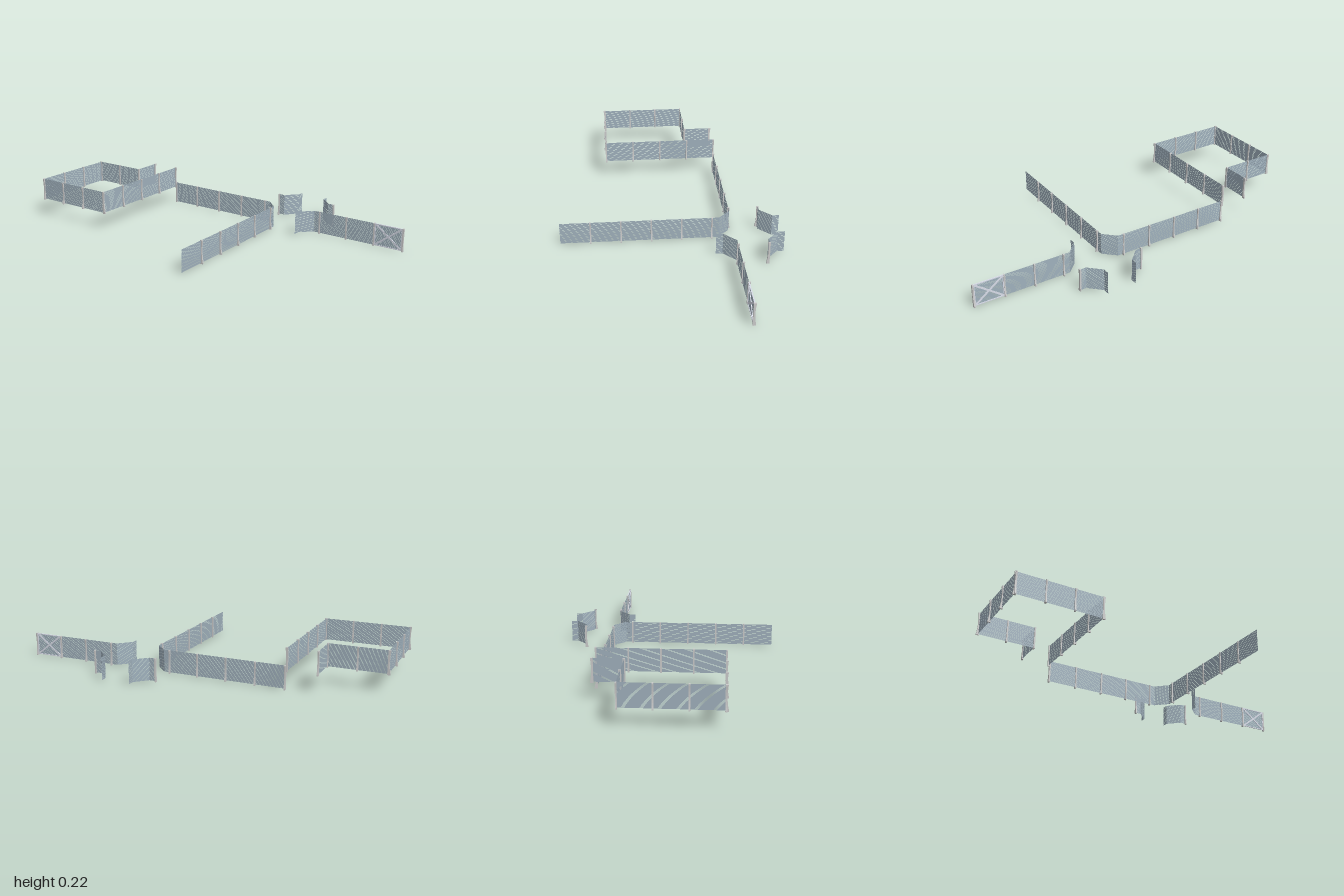
import * as THREE from 'three';
import { mergeGeometries } from 'three/addons/utils/BufferGeometryUtils.js';

const H = 0.122;      // panel height
const BASE = 0.005;   // gap below the panel
const UPPER = 0.094;  // floor level of the raised enclosure
const SLATS = 25;

const metal = new THREE.MeshStandardMaterial({ color: 0xcccccc });
const frameMetal = new THREE.MeshStandardMaterial({ color: 0xd8dce8 });
const sheet = new THREE.MeshStandardMaterial({ color: 0x9fb0bc, side: THREE.DoubleSide });

// Thin, closely spaced horizontal slats along +x, starting at the origin
function panelGeometry(length) {
  const slats = [];
  const pitch = H / SLATS;
  for (let i = 0; i < SLATS; i++) {
    slats.push(new THREE.PlaneGeometry(length, pitch * 0.9)
      .translate(length / 2, BASE + (i + 0.5) * pitch, 0));
  }
  return mergeGeometries(slats);
}

// Post with a waisted side profile: wide foot, slim middle, wider head
function postGeometry() {
  const s = new THREE.Shape();
  s.moveTo(-0.005, 0);
  s.lineTo(0.011, 0);
  s.lineTo(0.011, 0.006);
  s.quadraticCurveTo(-0.001, 0.06, 0.008, 0.122);
  s.lineTo(0.008, 0.128);
  s.lineTo(-0.005, 0.128);
  s.closePath();
  const g = new THREE.ExtrudeGeometry(s, { depth: 0.008, bevelEnabled: false, curveSegments: 8 });
  return g.translate(0, 0, -0.004).rotateY(-Math.PI / 2);
}

// Gate frame: one plate whose four triangular holes leave a rim and crossed braces
function gateGeometry(length) {
  const w = length / 2 - 0.004, h = H / 2;   // half sizes
  const rim = 0.005, brace = 0.0045;         // rim width, half width of a brace
  const iw = w - rim, ih = h - rim;
  const diagonal = Math.hypot(iw, ih);
  const dx = (brace * diagonal) / ih, dy = (brace * diagonal) / iw;
  const points = (list) => list.map(([x, y]) => new THREE.Vector2(x, y));
  const plate = new THREE.Shape(points([[-w, -h], [w, -h], [w, h], [-w, h]]));
  for (const s of [-1, 1]) {
    plate.holes.push(new THREE.Path(points([[s * iw, ih - dy], [s * iw, dy - ih], [s * dx, 0]])));
    plate.holes.push(new THREE.Path(points([[iw - dx, s * ih], [dx - iw, s * ih], [0, s * dy]])));
  }
  const g = new THREE.ExtrudeGeometry(plate, { depth: 0.006, bevelEnabled: false });
  return g.translate(length / 2, BASE + H / 2, -0.003);
}

export function createModel() {
  const model = new THREE.Group();
  model.name = 'fences';
  const postGeo = postGeometry();

  function place(parent, geometry, material, name, x, y, z, angle) {
    const mesh = new THREE.Mesh(geometry, material);
    mesh.name = name;
    mesh.position.set(x, y, z);
    mesh.rotation.y = angle;
    parent.add(mesh);
  }

  // Straight run of equal panels, with posts numbered firstPost to lastPost;
  // posts bulge to the right of the walking direction
  function run(name, [x0, z0], [x1, z1], count, y, firstPost = 0, lastPost = -1, gate = false) {
    const group = new THREE.Group();
    group.name = name;
    const angle = Math.atan2(z0 - z1, x1 - x0);
    const length = Math.hypot(x1 - x0, z1 - z0) / count;
    const panel = panelGeometry(length);
    for (let i = 0; i <= count; i++) {
      const x = x0 + ((x1 - x0) * i) / count, z = z0 + ((z1 - z0) * i) / count;
      if (i < count) place(group, panel, sheet, 'panel', x, y, z, angle);
      if (i >= firstPost && i <= lastPost) place(group, postGeo, metal, 'post', x, y, z, angle);
      if (gate && i === 0) place(group, gateGeometry(length), frameMetal, 'gateFrame', x, y, z, angle);
    }
    model.add(group);
  }

  // Ground level
  run('sideFence', [-0.588, 0.24], [0.226, 0.24], 5, 0, 1, 5);
  run('longFence', [0.326, 0.142], [0.326, -0.509], 4, 0, 0, 4);
  run('gateFence', [0.326, 0.995], [0.326, 0.502], 3, 0, 0, 3, true);

  // Four chamfered corners around the crossing
  const corner = [[0.081, 0.18], [0.081, 0.146], [0.144, 0.081], [0.18, 0.081]];
  for (const sx of [-1, 1]) for (const sz of [-1, 1]) {
    const pts = corner.map(([x, z]) => [0.407 + sx * x, 0.321 + sz * z]);
    for (let i = 0; i < 3; i++) run('cornerFence', pts[i], pts[i + 1], 1, 0);
    if (sx > 0) place(model, postGeo, metal, 'cornerPost', pts[0][0], 0, pts[0][1], -Math.PI / 2);
  }

  // Raised enclosure with a side entrance
  run('enclosureFront', [-0.326, -0.517], [0.326, -0.517], 4, UPPER, 0, 4);
  run('enclosureLeft', [-0.326, -0.989], [-0.326, -0.517], 3, UPPER, 0, 2);
  run('enclosureBack', [0.164, -0.989], [-0.326, -0.989], 3, UPPER, 0, 3);
  run('enclosureRight', [0.164, -0.677], [0.164, -0.989], 2, UPPER, 0, 1);
  run('entranceFence', [0.32, -0.677], [0.164, -0.677], 1, UPPER);
  place(model, postGeo, metal, 'entrancePost', 0.32, UPPER, -0.677, Math.PI / 2);

  return model;
}
